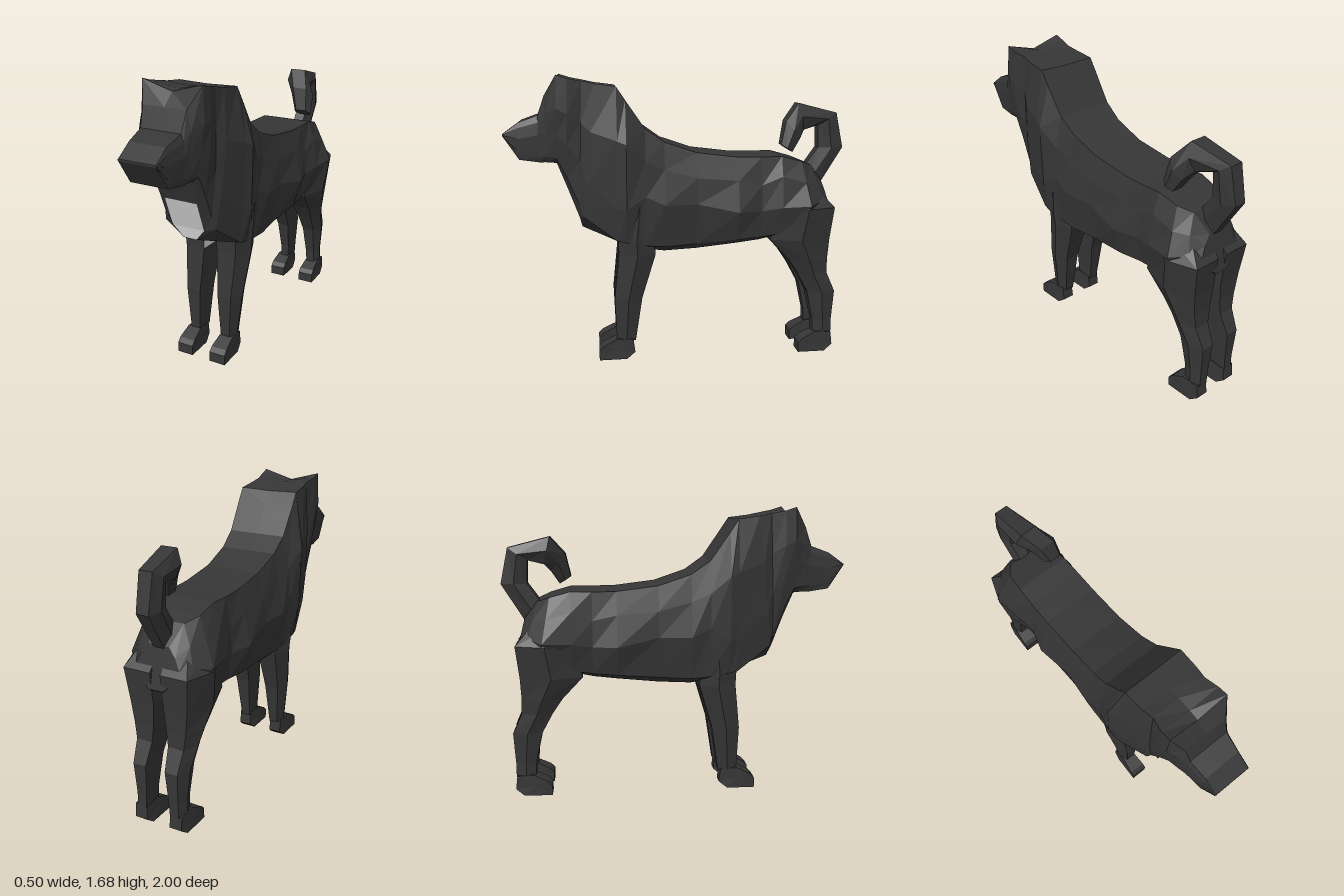
import * as THREE from 'three';

const black = new THREE.MeshStandardMaterial({ color: 0x363636 });
black.name = 'blackCoat';
const white = new THREE.MeshStandardMaterial({ color: 0xdedede });
white.name = 'whiteFur';

// Skin a list of closed rings of [x, y, z] points with flat facets and capped ends.
// isWhite(i, j) picks the white fur for strip j between rings i and i + 1.
function loft(name, rings, isWhite = () => false) {
  const faces = [[], []];
  const n = rings[0].length;
  rings.slice(0, -1).forEach((a, i) => {
    const b = rings[i + 1];
    for (let j = 0; j < n; j++) {
      const k = (j + 1) % n;
      faces[isWhite(i, j) ? 1 : 0].push([a[j], b[j], b[k]], [a[j], b[k], a[k]]);
    }
  });
  [rings[0], rings[rings.length - 1]].forEach((ring, end) => {
    const mid = [0, 1, 2].map((c) => ring.reduce((sum, p) => sum + p[c], 0) / n);
    ring.forEach((p, j) => {
      const q = ring[(j + 1) % n];
      faces[0].push(end ? [mid, q, p] : [mid, p, q]);
    });
  });
  // strips and caps run the same way round; turn the whole skin outward by its signed volume
  let tris = faces[0].concat(faces[1]);
  const volume = tris.reduce((sum, [a, b, c]) =>
    sum + new THREE.Vector3(...a).dot(new THREE.Vector3(...b).cross(new THREE.Vector3(...c))), 0);
  if (volume < 0) tris = tris.map(([a, b, c]) => [a, c, b]);
  const geo = new THREE.BufferGeometry();
  geo.setAttribute('position', new THREE.Float32BufferAttribute(tris.flat(2), 3));
  geo.computeVertexNormals();
  geo.addGroup(0, faces[0].length * 3, 0);
  if (faces[1].length) geo.addGroup(faces[0].length * 3, faces[1].length * 3, 1);
  const mesh = new THREE.Mesh(geo, [black, white]);
  mesh.name = name;
  return mesh;
}

// Body ring: [zTop, zBottom, spineY, then x, y of five points from top edge to bottom edge]
function bodyRing([zt, zb, cy, ...p]) {
  const side = [];
  for (let i = 0; i < 10; i += 2) {
    side.push([p[i], p[i + 1], zt + (zb - zt) * (p[1] - p[i + 1]) / (p[1] - p[9])]);
  }
  const mirrored = side.map(([x, y, z]) => [-x, y, z]).reverse();
  return [[0, cy, zt], ...side, ...mirrored];
}

// rump to shoulders
const torso = [
  [-.87, -.92, 1.05, .06, 1.05, .10, 1.0, .13, .94, .10, .87, .04, .82],
  [-.79, -.89, 1.155, .10, 1.155, .15, 1.05, .18, .95, .14, .85, .04, .80],
  [-.72, -.79, 1.182, .15, 1.182, .20, 1.06, .25, .93, .20, .82, .05, .78],
  [-.60, -.60, 1.215, .16, 1.215, .20, 1.10, .225, .92, .19, .76, .08, .73],
  [-.48, -.48, 1.212, .165, 1.212, .19, 1.05, .20, .90, .175, .74, .13, .715],
  [-.34, -.34, 1.214, .165, 1.214, .20, 1.08, .24, .90, .19, .73, .14, .70],
  [-.10, -.10, 1.243, .165, 1.243, .20, 1.10, .215, .95, .18, .71, .14, .675],
  [.09, .09, 1.307, .17, 1.307, .20, 1.15, .235, .95, .195, .70, .13, .662],
  [.20, .20, 1.385, .175, 1.385, .215, 1.20, .225, 1.0, .20, .71, .08, .665],
  [.31, .31, 1.545, .18, 1.545, .25, 1.30, .24, .93, .205, .73, .05, .69],
  [.36, .36, 1.615, .18, 1.62, .235, 1.32, .22, .93, .20, .74, .04, .72],
].map(bodyRing);

// neck and chest forward to the nose, with the ears as raised top corners
const head = [
  [.48, .565, 1.63, .175, 1.635, .20, 1.37, .185, 1.08, .16, .88, .04, .80],
  [.55, .58, 1.64, .165, 1.65, .17, 1.42, .17, 1.20, .15, .95, .10, .87],
  [.63, .645, 1.64, .18, 1.665, .19, 1.47, .18, 1.30, .15, 1.11, .10, 1.045],
  [.69, .70, 1.635, .18, 1.685, .19, 1.50, .17, 1.35, .15, 1.22, .12, 1.19],
  [.76, .76, 1.57, .13, 1.57, .155, 1.47, .15, 1.36, .14, 1.23, .12, 1.195],
  [.80, .80, 1.46, .12, 1.46, .135, 1.42, .14, 1.35, .13, 1.23, .12, 1.195],
  [.91, .91, 1.42, .11, 1.42, .12, 1.39, .125, 1.33, .12, 1.25, .115, 1.21],
  [1.0, 1.0, 1.355, .11, 1.355, .113, 1.352, .115, 1.35, .113, 1.348, .11, 1.345],
].map(bodyRing);

// Leg ring: [y, zFront, zBack, xInner, xOuter]
const frontLeg = [
  [.95, .35, .12, .04, .225],
  [.73, .36, .15, .04, .215],
  [.65, .357, .142, .043, .208],
  [.38, .385, .222, .06, .18],
  [.11, .375, .262, .075, .15],
];
const hindLeg = [
  [1.0, -.66, -.84, .03, .19],
  [.91, -.58, -.92, .03, .25],
  [.72, -.54, -.90, .03, .225],
  [.59, -.66, -.895, .04, .20],
  [.50, -.72, -.90, .05, .18],
  [.38, -.785, -.955, .06, .165],
  [.20, -.825, -.945, .07, .15],
  [.11, -.83, -.945, .075, .15],
];
const legRing = (side) => ([y, zf, zb, xi, xo]) => {
  const bevel = xo - .27 * (xo - xi);
  return [[xi, zf], [bevel, zf], [xo, (zf + zb) / 2], [bevel, zb], [xi, zb]]
    .map(([x, z]) => [side * x, y, z]);
};

// Paw: side profile as [z from the heel, y, half width], wider at the toes
const pawProfile = [
  [.05, 0, .045], [.215, 0, .05], [.215, .06, .05], [.19, .085, .05],
  [.11, .125, .042], [.01, .12, .037], [0, .04, .037],
];
const paw = (name, side, heel) => loft(name, [-1, 1].map((edge) =>
  pawProfile.map(([z, y, w]) => [side * .11 + edge * w, y, heel + z])));

// Tail ring: [zOuter, yOuter, zInner, yInner, xCentre, halfWidth]
const tail = [
  [-.85, 1.0, -.75, 1.11, 0, .05],
  [-1.0, 1.25, -.85, 1.25, 0, .06],
  [-.955, 1.457, -.845, 1.385, 0, .065],
  [-.716, 1.517, -.75, 1.36, .02, .08],
  [-.63, 1.415, -.715, 1.315, .075, .075],
  [-.60, 1.28, -.667, 1.237, .10, .055],
].map(([zo, yo, zi, yi, x, w]) => {
  const zm = (zo + zi) / 2, ym = (yo + yi) / 2, e = w * .6;
  return [[x - e, yo, zo], [x + e, yo, zo], [x + w, ym, zm],
    [x + e, yi, zi], [x - e, yi, zi], [x - w, ym, zm]];
});

export function createModel() {
  const dog = new THREE.Group();
  dog.name = 'dog';

  // strip 5 is the underside: white belly and chest, black rump and jaw
  dog.add(loft('torso', torso, (i, j) => j === 5 && i >= 3));
  dog.add(loft('headAndNeck', [torso[torso.length - 1], ...head], (i, j) => j === 5 && i < 3));
  dog.add(loft('tail', tail));

  // small fold under the belly
  const fold = loft('bellyFold', [[-.18, .67], [-.34, .672], [-.45, .705]].map(([z, y]) =>
    [[-.035, .73, z], [-.025, y, z], [.025, y, z], [.035, .73, z]]));
  fold.material = white;
  dog.add(fold);

  for (const [prefix, side] of [['left', 1], ['right', -1]]) {
    // white patch high on the inside of each front leg
    dog.add(loft(prefix + 'FrontLeg', frontLeg.map(legRing(side)), (i, j) => i === 1 && j === 4));
    dog.add(loft(prefix + 'HindLeg', hindLeg.map(legRing(side))));
    dog.add(paw(prefix + 'FrontPaw', side, .267));
    dog.add(paw(prefix + 'HindPaw', side, -.95));
  }
  return dog;
}
